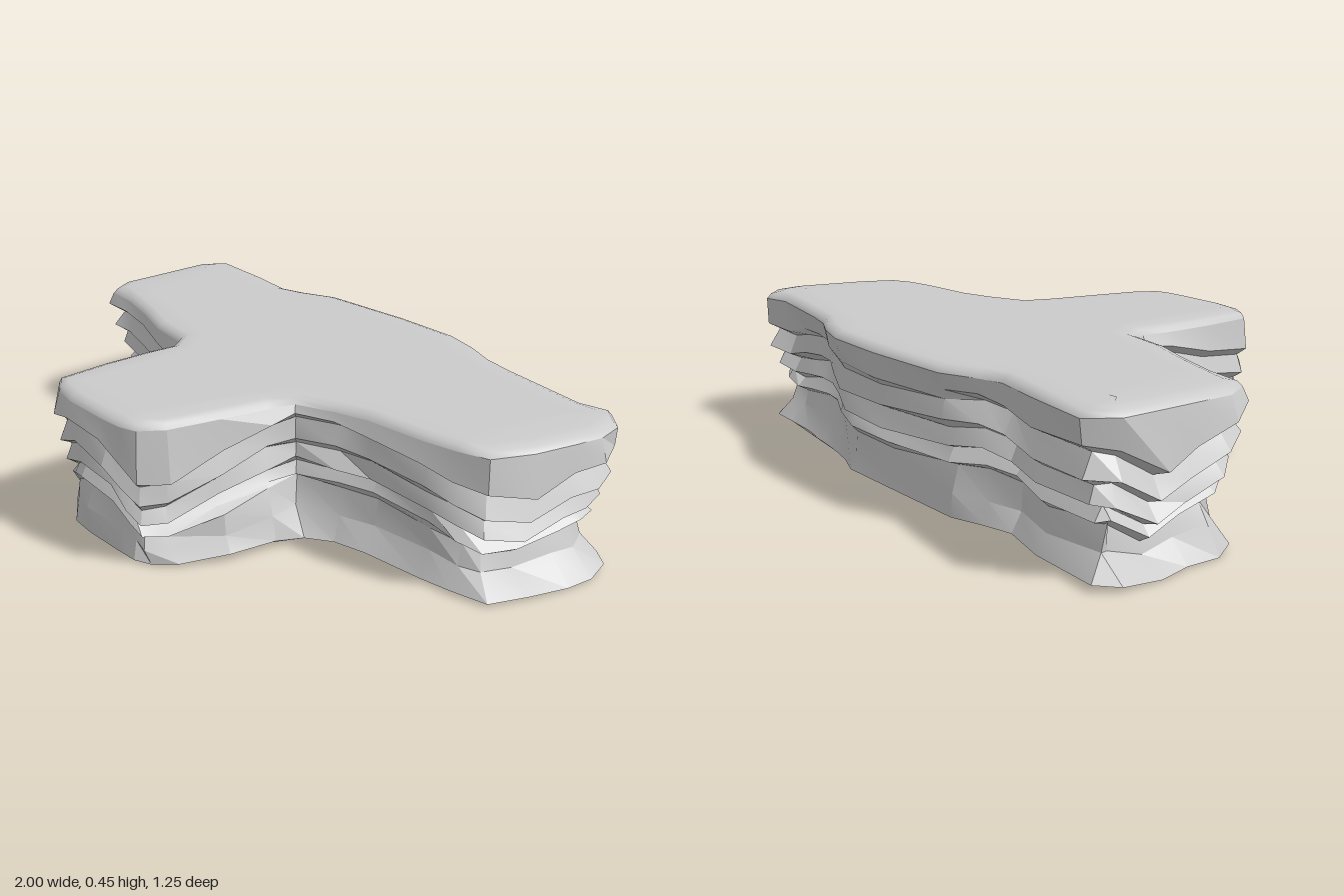
import * as THREE from 'three';
import { toCreasedNormals } from 'three/addons/utils/BufferGeometryUtils.js';

// T-shaped outline, counter-clockwise from above: [x, z, vertical bend of the strata]
const OUTLINE = [
  [-0.285, 0.55, -0.055], [-0.22, 0.59, -0.03], [-0.13, 0.605, 0], [0.03, 0.605, -0.02], [0.11, 0.6, -0.07],
  [0.165, 0.58, -0.11], [0.21, 0.51, -0.11], [0.24, 0.35, -0.05], [0.265, 0.2, 0], [0.285, 0.12, 0.015],
  [0.4, 0.07, 0.01], [0.5, 0.04, 0.005], [0.7, 0.02, -0.015], [0.8, 0.0, -0.04], [0.89, -0.03, -0.06],
  [0.94, -0.15, -0.08], [0.965, -0.28, -0.04], [0.98, -0.37, -0.03], [0.96, -0.46, -0.02], [0.89, -0.52, -0.04],
  [0.8, -0.495, -0.06], [0.65, -0.515, -0.03], [0.5, -0.535, -0.01], [0.4, -0.555, 0], [0.3, -0.595, -0.01],
  [0.18, -0.625, -0.03], [-0.05, -0.625, -0.03], [-0.36, -0.6, -0.01], [-0.47, -0.55, 0], [-0.55, -0.525, -0.02],
  [-0.7, -0.545, -0.04], [-0.93, -0.565, -0.03], [-0.985, -0.48, -0.04], [-0.98, -0.35, -0.11], [-0.975, -0.25, -0.07],
  [-0.97, -0.13, -0.03], [-0.92, -0.05, 0], [-0.8, -0.04, 0.005], [-0.65, 0, 0], [-0.5, 0.05, 0],
  [-0.35, 0.07, -0.02], [-0.305, 0.13, 0.01], [-0.31, 0.22, 0], [-0.305, 0.38, -0.035],
];
const N = OUTLINE.length;

// Cliff profile from rim to foot: [height, inset, share of the bend]
const STRATA = [
  [0.43, 0, 0], [0.39, -0.015, 1], [0.37, 0.022, 1], [0.312, 0, 1], [0.292, 0.035, 1], [0.242, 0.015, 0.95],
  [0.225, 0.05, 0.95], [0.19, 0.03, 0.85], [0.17, 0.06, 0.8], [0.09, 0.045, 0.4], [0.015, 0.01, 0],
];
const PLATEAU = [[0.43, 0], [0.445, 0.01], [0.452, 0.035], [0.455, 0.09]];

function seeded(seed) {
  return () => (seed = (seed * 16807) % 2147483647) / 2147483647;
}

// Outward normal of the outline at point i
function normalAt(i) {
  const a = OUTLINE[(i + N - 1) % N], b = OUTLINE[(i + 1) % N];
  return new THREE.Vector2(-(b[1] - a[1]), b[0] - a[0]).normalize();
}

// One closed loop of points; the arm ends recess deeper and the back never bulges
function ring(height, inset, bend, rough, rand) {
  return OUTLINE.map(([x, z, shift], i) => {
    const n = normalAt(i);
    const recess = Math.abs(x) > 0.8 ? 1.5 : 0.9;
    const bulge = z < -0.45 ? 0 : 1;
    const d = inset * (inset > 0 ? recess : bulge) + rough * (rand() - 0.5 * bulge);
    const y = height + shift * bend + rough * 0.6 * (rand() - 0.5);
    return new THREE.Vector3(THREE.MathUtils.clamp(x - n.x * d, -1, 1), y, z - n.y * d);
  });
}

// Joins loops, ordered top to bottom, with outward-facing quads
function skin(rings, cap) {
  const index = [];
  for (let r = 0; r < rings.length - 1; r++) {
    for (let i = 0; i < N; i++) {
      const j = (i + 1) % N;
      const a = r * N + i, b = r * N + j, c = b + N, d = a + N;
      index.push(a, d, c, a, c, b);
    }
  }
  // Closes the first loop with a face that looks up or down
  if (cap) {
    const flat = rings[0].map((p) => new THREE.Vector2(p.x, -p.z));
    for (const [a, b, c] of THREE.ShapeUtils.triangulateShape(flat, [])) {
      index.push(...(cap === 'up' ? [a, b, c] : [a, c, b]));
    }
  }
  const geo = new THREE.BufferGeometry().setFromPoints(rings.flat());
  geo.setIndex(index);
  geo.computeVertexNormals();
  return geo;
}

export function createModel() {
  const group = new THREE.Group();
  group.name = 'rockLedge';
  const material = new THREE.MeshStandardMaterial({ color: 0xcccccc, roughness: 0.9 });
  const rand = seeded(417);
  const add = (name, geo) => {
    const mesh = new THREE.Mesh(geo, material);
    mesh.name = name;
    group.add(mesh);
  };

  // Layered cliff walls; the rim stays even so that it meets the plateau
  const walls = STRATA.map(([y, inset, bend], k) => ring(y, inset, bend, k === 0 ? 0 : 0.018, rand));
  const foot = walls[walls.length - 1];

  // The foot flares at the arm ends, draws in at the stem front and back, and lifts along the stem
  for (const p of foot) {
    if (p.x > 0.8) p.x = Math.min(1, p.x * 1.03);
    else if (p.x < -0.8 && p.z < -0.3) p.x = Math.max(-1, p.x * 1.02);
    if (p.z > 0.45) p.z -= 0.03;
    else if (p.z < -0.55) p.z += 0.02;
    p.y += 0.012 * Math.sin(p.z * 7);
    p.y = Math.max(0, p.y);
  }

  // The right flank of the stem bulges low down
  for (const loop of walls.slice(-3)) {
    for (const p of loop) if (p.x > 0.15 && p.x < 0.35 && p.z > 0.1 && p.z < 0.45) p.x += 0.045;
  }
  add('cliffWalls', toCreasedNormals(skin(walls), 0.35));

  // Smooth plateau with a softly rounded rim
  const top = PLATEAU.map(([y, inset]) => ring(y, inset, 0, 0, rand)).reverse();
  add('plateau', skin(top, 'up'));

  // Nearly flat underside
  add('underside', toCreasedNormals(skin([foot], 'down'), 0.35));
  return group;
}
